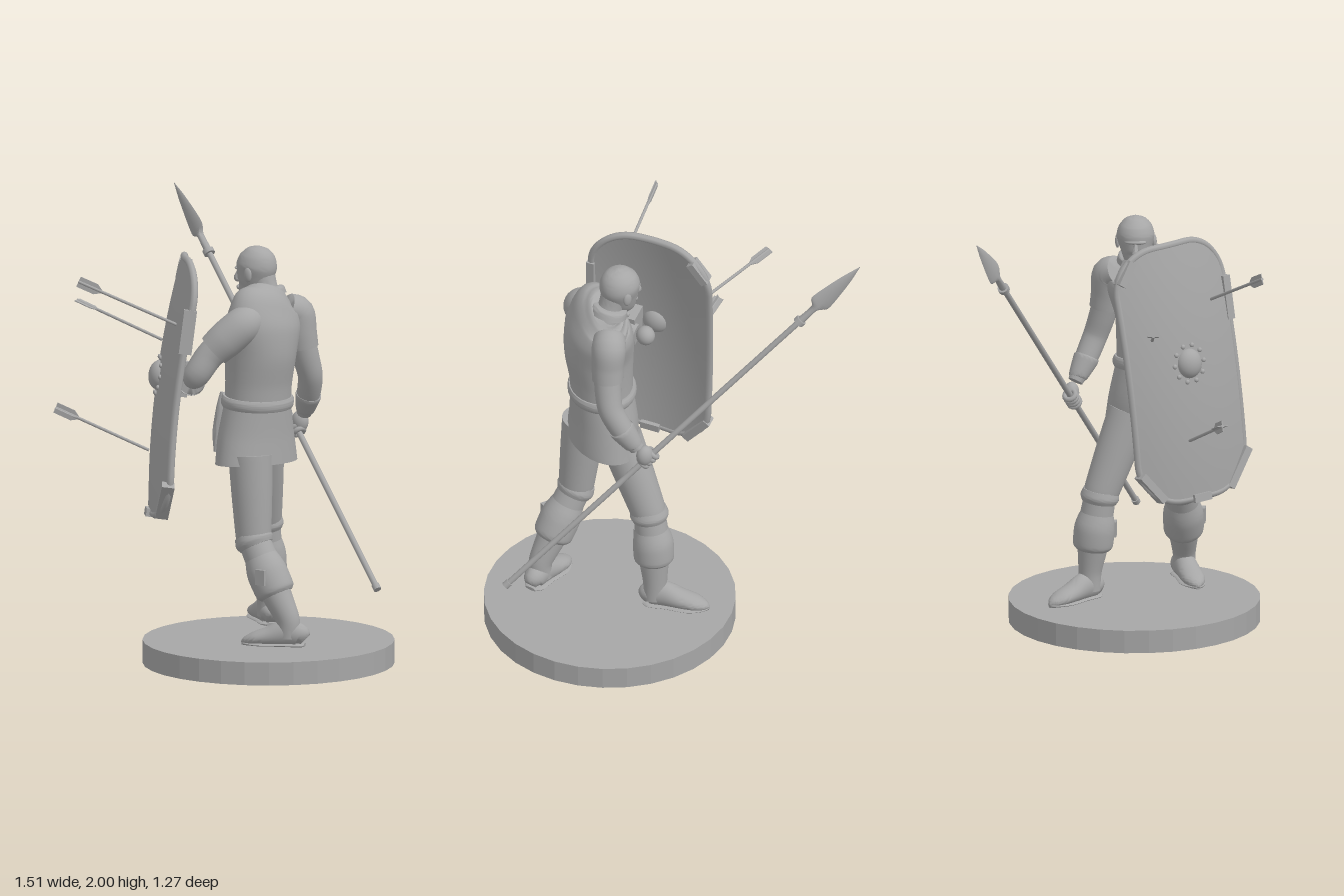
import * as THREE from 'three';
import { toCreasedNormals } from 'three/addons/utils/BufferGeometryUtils.js';

const V = (x, y, z) => new THREE.Vector3(x, y, z);

export function createModel() {
  const model = new THREE.Group();
  const stone = new THREE.MeshStandardMaterial({ color: 0xa6a6a6, side: THREE.DoubleSide });
  stone.name = 'statue grey';

  function add(name, geo, parent = model) {
    const m = new THREE.Mesh(geo, stone);
    m.name = name;
    parent.add(m);
    return m;
  }
  function ball(name, p, s, parent) {
    const m = add(name, new THREE.SphereGeometry(1, 24, 16), parent);
    m.position.set(...p);
    m.scale.set(...s);
    return m;
  }
  function rod(name, a, b, r0, r1 = r0, parent = model) {
    const d = b.clone().sub(a);
    const m = add(name, new THREE.CylinderGeometry(r1, r0, d.length(), 12), parent);
    m.position.copy(a).addScaledVector(d, 0.5);
    m.quaternion.setFromUnitVectors(V(0, 1, 0), d.normalize());
    return m;
  }
  // Elliptical rings swept through rows of [x, y, z, radius along ref, other radius]
  function loft(name, rows, ref = V(0, 0, 1), steps = 5, seg = 28) {
    const path = new THREE.CatmullRomCurve3(rows.map(r => V(r[0], r[1], r[2])), false, 'catmullrom', 0.4);
    const size = new THREE.CatmullRomCurve3(rows.map(r => V(r[3], r[4] ?? r[3], 0)), false, 'catmullrom', 0.4);
    const n = (rows.length - 1) * steps, pos = [], idx = [];
    for (let i = 0; i <= n; i++) {
      const c = path.getPoint(i / n), s = size.getPoint(i / n), t = path.getTangent(i / n);
      const a = ref.clone().addScaledVector(t, -ref.dot(t)).normalize(), b = t.clone().cross(a);
      for (let j = 0; j < seg; j++) {
        const q = j / seg * Math.PI * 2;
        pos.push(...c.clone().addScaledVector(a, s.x * Math.cos(q)).addScaledVector(b, s.y * Math.sin(q)));
      }
    }
    for (let i = 0; i < n; i++) for (let j = 0; j < seg; j++) {
      const k = (j + 1) % seg, p = i * seg, q = p + seg;
      idx.push(p + j, p + k, q + j, p + k, q + k, q + j);
    }
    const last = (n + 1) * seg;
    pos.push(...path.getPoint(0), ...path.getPoint(1));
    for (let j = 0; j < seg; j++) {
      const k = (j + 1) % seg;
      idx.push(last, k, j, last + 1, n * seg + j, n * seg + k);
    }
    const g = new THREE.BufferGeometry();
    g.setAttribute('position', new THREE.Float32BufferAttribute(pos, 3));
    g.setIndex(idx);
    return add(name, toCreasedNormals(g, 0.9));
  }

  // Base
  add('base', toCreasedNormals(new THREE.CylinderGeometry(0.567, 0.567, 0.105, 32), 0.1)).position.set(0.175, 0.0525, 0.005);

  // Body and tunic
  const across = V(-0.15, 0, 1).normalize();
  loft('tunicSkirt', [[0.165, 0.93, 0.09, 0.222, 0.148], [0.16, 1.05, 0.085, 0.198, 0.148],
    [0.17, 1.21, 0.085, 0.162, 0.138]], across);
  loft('tunic', [[0.17, 1.2, 0.085, 0.162, 0.138], [0.175, 1.3, 0.085, 0.162, 0.142], [0.185, 1.43, 0.085, 0.17, 0.155],
    [0.19, 1.55, 0.075, 0.195, 0.147], [0.19, 1.63, 0.06, 0.182, 0.118], [0.185, 1.675, 0.035, 0.125, 0.093],
    [0.18, 1.695, 0.02, 0.085, 0.075]], across);
  loft('belt', [[0.167, 1.185, 0.085, 0.172, 0.146], [0.168, 1.2, 0.085, 0.178, 0.152],
    [0.169, 1.22, 0.085, 0.178, 0.152], [0.17, 1.235, 0.085, 0.17, 0.146]], V(-0.15, 0.09, 1).normalize());
  loft('collar', [[0.178, 1.675, 0.015, 0.09, 0.085], [0.17, 1.705, 0.015, 0.082, 0.08], [0.168, 1.712, 0.015, 0.065, 0.064]]);
  for (let i = 0; i < 6; i++)
    ball('button', [0.033 + 0.006 * Math.max(0, i - 3), 1.28 + 0.06 * i, 0.07], [0.01, 0.012, 0.012]);
  loft('dagger', [[0.02, 1.24, 0.14, 0.014], [0.015, 1.17, 0.15, 0.022], [0.0, 1.06, 0.165, 0.018], [-0.005, 0.97, 0.17, 0.005]]);

  // Head
  loft('neck', [[0.19, 1.64, 0.015, 0.062], [0.165, 1.71, 0.015, 0.056], [0.145, 1.77, 0.015, 0.06]]);
  loft('head', [[0.058, 1.662, 0.025, 0.018, 0.016], [0.07, 1.68, 0.025, 0.04, 0.04], [0.095, 1.72, 0.02, 0.06, 0.07],
    [0.108, 1.76, 0.018, 0.073, 0.084], [0.118, 1.81, 0.015, 0.086, 0.094], [0.123, 1.855, 0.015, 0.074, 0.081],
    [0.125, 1.887, 0.015, 0.046, 0.05], [0.126, 1.901, 0.015, 0.006, 0.006]]);
  ball('brow', [0.042, 1.798, 0.02], [0.022, 0.012, 0.05]);
  ball('mouth', [0.04, 1.708, 0.025], [0.016, 0.014, 0.028]);
  loft('nose', [[0.035, 1.795, 0.021, 0.009], [0.023, 1.762, 0.022, 0.013], [0.018, 1.745, 0.022, 0.016], [0.03, 1.734, 0.022, 0.01]]);
  for (const s of [-1, 1]) ball('ear', [0.125, 1.78, 0.016 + 0.083 * s], [0.02, 0.033, 0.011]);

  // Spear arm
  loft('spearSleeve', [[0.22, 1.61, -0.07, 0.07], [0.25, 1.585, -0.115, 0.078], [0.262, 1.5, -0.125, 0.073],
    [0.268, 1.43, -0.135, 0.07]], V(1, 0, 0));
  loft('spearArm', [[0.262, 1.5, -0.12, 0.062], [0.275, 1.38, -0.15, 0.06], [0.278, 1.29, -0.18, 0.056],
    [0.24, 1.19, -0.22, 0.052], [0.19, 1.1, -0.262, 0.034]], V(1, 0, 0));
  loft('spearBracer', [[0.245, 1.2, -0.216, 0.054], [0.24, 1.19, -0.22, 0.058], [0.205, 1.125, -0.25, 0.044], [0.2, 1.115, -0.254, 0.038]], V(1, 0, 0));
  ball('spearHand', [0.158, 1.055, -0.277], [0.04, 0.05, 0.035]);

  // Spear with leaf blade
  const butt = V(0.74, 0.385, -0.03), tip = V(-0.755, 1.995, -0.632);
  const along = r => butt.clone().lerp(tip, r);
  rod('spearShaft', butt, along(0.87), 0.0135);
  rod('spearFerrule', butt, along(0.012), 0.018);
  rod('spearCollar', along(0.825), along(0.835), 0.026);
  loft('spearBlade', [[...along(0.83), 0.018, 0.018], [...along(0.87), 0.016, 0.016], [...along(0.885), 0.05, 0.014],
    [...along(0.91), 0.047, 0.012], [...along(0.96), 0.026, 0.008], [...tip, 0.001, 0.001]], V(0, 1, 0), 4, 8);
  for (let i = 0; i < 4; i++) {
    const f = add('finger', new THREE.TorusGeometry(0.025, 0.012, 8, 16));
    f.position.copy(along(0.388 + 0.0095 * i));
    f.quaternion.setFromUnitVectors(V(0, 0, 1), tip.clone().sub(butt).normalize());
  }

  // Shield arm
  loft('shieldSleeve', [[0.2, 1.6, 0.17, 0.075], [0.185, 1.575, 0.235, 0.084], [0.13, 1.515, 0.285, 0.084],
    [0.085, 1.465, 0.315, 0.077]], V(0, 1, 0));
  loft('shieldArm', [[0.13, 1.51, 0.285, 0.068], [0.07, 1.44, 0.33, 0.064], [0.03, 1.36, 0.37, 0.06],
    [-0.02, 1.33, 0.345, 0.056], [-0.1, 1.315, 0.235, 0.04]], V(0, 0, 1));
  loft('shieldBracer', [[0.02, 1.325, 0.4, 0.055], [0.01, 1.325, 0.385, 0.063], [-0.07, 1.32, 0.275, 0.053], [-0.08, 1.32, 0.262, 0.045]], V(0, 1, 0));
  ball('shieldHand', [-0.125, 1.315, 0.2], [0.042, 0.045, 0.045]);

  // Shield in its own frame: x across, y up, z outwards
  const shield = new THREE.Group();
  shield.name = 'shield';
  const up = V(0.068, 0.989, -0.128).normalize(), out = V(-0.78, 0.13, 0.61);
  out.addScaledVector(up, -out.dot(up)).normalize();
  shield.quaternion.setFromRotationMatrix(new THREE.Matrix4().makeBasis(up.clone().cross(out), up, out));
  shield.position.set(-0.228, 1.275, 0.285);
  model.add(shield);
  const W = 0.283, H = 0.58, R = 0.2;
  const bend = (x, y, z) => V(x, y, z - 0.72 * x * x - 0.12 * y * y);
  const shape = new THREE.Shape();
  [[1, 1], [-1, 1], [-1, -1], [1, -1]].forEach(([sx, sy], i) =>
    shape.absarc(sx * (W - R), sy * (H - R), R, i * Math.PI / 2, (i + 1) * Math.PI / 2));
  shape.closePath();
  const outline = shape.getSpacedPoints(96).slice(0, 96);
  const rings = [];
  for (let i = 0; i <= 8; i++) rings.push([i / 8, -0.012]);
  for (let i = 8; i >= 0; i--) rings.push([i / 8, 0.012]);
  const sp = [], si = [];
  for (const [s, z] of rings) for (const p of outline) sp.push(...bend(p.x * s, p.y * s, z));
  for (let i = 0; i < rings.length - 1; i++) for (let j = 0; j < 96; j++) {
    const k = (j + 1) % 96, a = i * 96, b = a + 96;
    si.push(a + j, a + k, b + j, a + k, b + k, b + j);
  }
  const board = new THREE.BufferGeometry();
  board.setAttribute('position', new THREE.Float32BufferAttribute(sp, 3));
  board.setIndex(si);
  add('shieldBoard', toCreasedNormals(board, 0.7), shield);
  const edge = new THREE.CatmullRomCurve3(outline.map(p => bend(p.x, p.y, 0)), true);
  add('shieldRim', new THREE.TubeGeometry(edge, 140, 0.017, 8, true), shield);
  const boss = ball('shieldBoss', [0, 0.04, 0.005], [0.062, 0.068, 0.05], shield);
  for (let i = 0; i < 10; i++) {
    const a = i / 10 * Math.PI * 2, p = bend(0.078 * Math.cos(a), boss.position.y + 0.085 * Math.sin(a), 0.014);
    ball('bossStud', [...p], [0.011, 0.011, 0.009], shield);
  }
  // Edge clips: [x, y, turn, length]
  for (const [x, y, turn, len] of [[W, 0.28, 0, 0.2], [W - 0.05, -H + 0.085, -0.65, 0.2], [-W + 0.05, -H + 0.085, 0.65, 0.17],
    [0, -H, Math.PI / 2, 0.09], [-W + 0.05, H - 0.085, -0.65, 0.12]]) {
    const c = add('edgeClip', new THREE.BoxGeometry(0.036, len, 0.058), shield);
    c.position.copy(bend(x, y, 0));
    c.rotation.z = turn;
  }
  const grip = add('armStrap', new THREE.BoxGeometry(0.05, 0.16, 0.1), shield);
  grip.position.set(0.08, 0.045, -0.07);

  // Arrows: tail, point, vane turns
  for (const [a, b, vanes] of [[V(-0.435, 1.775, 0.63), V(-0.08, 1.575, 0.37), [0]],
    [V(-0.75, 1.585, 0.165), V(-0.32, 1.443, 0.125), [Math.PI / 2]],
    [V(-0.665, 1.15, 0.47), V(-0.28, 0.968, 0.292), [0, Math.PI / 2]]]) {
    rod('arrowShaft', a, b, 0.007);
    const fletching = new THREE.Group();
    fletching.name = 'fletching';
    fletching.position.copy(a);
    fletching.lookAt(b);
    model.add(fletching);
    const vane = new THREE.Shape([[0, 0], [0, 0.025], [0.085, 0.025], [0.125, 0], [0.085, -0.025], [0, -0.025]]
      .map(([x, y]) => new THREE.Vector2(x, y)));
    for (const turn of vanes) {
      const g = new THREE.ExtrudeGeometry(vane, { depth: 0.004, bevelEnabled: false });
      g.translate(0, 0, -0.002).rotateY(-Math.PI / 2).rotateZ(turn);
      add('arrowVane', g, fletching);
    }
  }

  // Legs: thigh, gathered knee, boot with folded cuff, foot
  function leg(hip, knee, cuff, ankle, heel, toe) {
    const mid = (a, b, t) => a.map((v, i) => v + (b[i] - v) * t);
    loft('thigh', [[...hip, 0.1, 0.1], [...mid(hip, knee, 0.45), 0.093, 0.092], [...mid(hip, knee, 0.9), 0.082, 0.082], [...knee, 0.078, 0.078]]);
    loft('kneeGather', [[...mid(knee, cuff, -0.15), 0.08], [...mid(knee, cuff, 0.05), 0.088], [...mid(knee, cuff, 0.2), 0.078]]);
    loft('shin', [[...knee, 0.072], [...cuff, 0.076], [...mid(cuff, ankle, 0.5), 0.066], [...ankle, 0.052, 0.055], [ankle[0], 0.17, ankle[2], 0.05, 0.055]]);
    loft('bootCuff', [[...mid(knee, cuff, 0.5), 0.074], [...mid(knee, cuff, 0.75), 0.086], [...cuff, 0.092],
      [...mid(cuff, ankle, 0.35), 0.09], [...mid(cuff, ankle, 0.45), 0.076]]);
    const buckle = add('bootBuckle', new THREE.BoxGeometry(0.05, 0.07, 0.02));
    buckle.position.set(cuff[0] + 0.02, cuff[1], cuff[2] + 0.088);
    const f = t => mid(heel, toe, t);
    const row = (t, half, tall) => [f(t)[0], 0.13 + tall, f(t)[1], half, tall];
    const side = V(toe[1] - heel[1], 0, heel[0] - toe[0]).normalize();
    loft('foot', [row(0, 0.025, 0.03), row(0.08, 0.046, 0.052), row(0.3, 0.05, 0.062), row(0.55, 0.054, 0.045),
      row(0.78, 0.052, 0.032), row(0.93, 0.032, 0.02), row(1, 0.006, 0.008)], side);
    loft('sole', [row(0, 0.028, 0.008), row(0.1, 0.05, 0.009), row(0.35, 0.05, 0.009), row(0.7, 0.06, 0.009),
      row(0.92, 0.036, 0.009), row(1, 0.01, 0.008)], side);
  }
  leg([0.13, 0.98, -0.01], [0.055, 0.61, -0.14], [0.048, 0.45, -0.165], [0.05, 0.25, -0.185], [0.09, -0.15], [-0.135, -0.35]);
  leg([0.2, 0.98, 0.19], [0.23, 0.6, 0.21], [0.31, 0.45, 0.215], [0.415, 0.25, 0.21], [0.485, 0.18], [0.22, 0.29]);
  return model;
}
